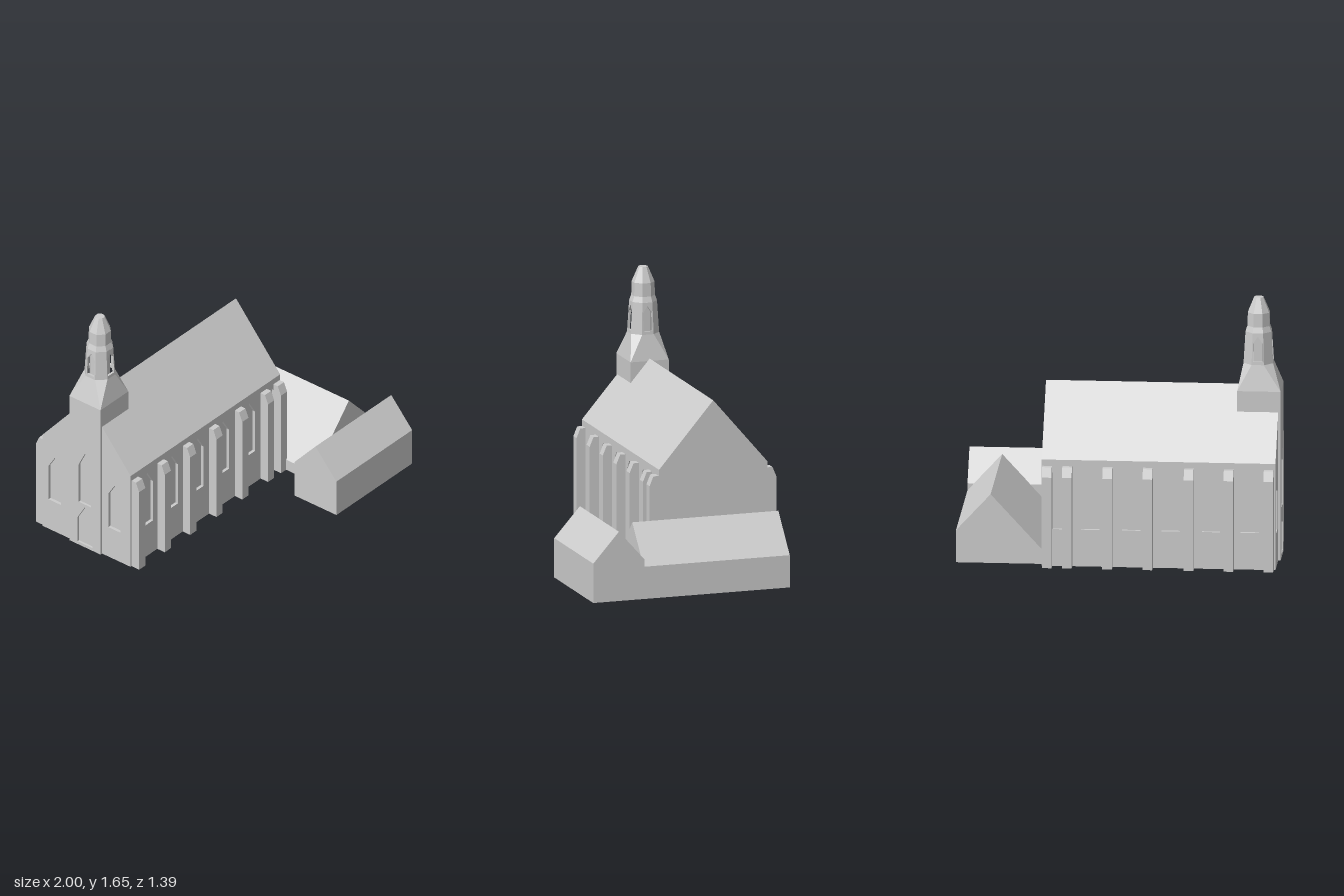
import * as THREE from 'three';

const stone = new THREE.MeshStandardMaterial({ color: 0xcccccc });
stone.name = 'grey stone';

const MID = -0.28; // z of the nave ridge

function outline(points, holes = []) {
  const shape = new THREE.Shape(points.map(([u, v]) => new THREE.Vector2(u, v)));
  shape.holes = holes.map((h) => new THREE.Path(h.map(([u, v]) => new THREE.Vector2(u, v))));
  return shape;
}

// pointed window outline
const lancet = (c, half, bottom, shoulder, top) => [
  [c - half, bottom], [c + half, bottom], [c + half, shoulder], [c, top], [c - half, shoulder],
];

const rect = (u0, u1, v0, v1) => [[u0, v0], [u1, v0], [u1, v1], [u0, v1]];

const extrude = (shape, depth) => new THREE.ExtrudeGeometry(shape, { depth, bevelEnabled: false });

// (x, y) profile swept from z0 to z1
const alongZ = (shape, z0, z1) => extrude(shape, z1 - z0).translate(0, 0, z0);

// (z, y) profile swept from x0 to x1
const alongX = (shape, x0, x1) => extrude(shape, x1 - x0).rotateY(-Math.PI / 2).translate(x1, 0, 0);

function add(parent, name, geometry) {
  const mesh = new THREE.Mesh(geometry, stone);
  mesh.name = name;
  parent.add(mesh);
  return mesh;
}

function buildNave() {
  const nave = new THREE.Group();
  nave.name = 'nave';
  const w = 0.355, t = 0.02, x0 = -0.985, x1 = 0.465;
  const gable = (inset) => [
    [MID - w + inset, 0], [MID + w - inset, 0], [MID + w - inset, 0.66], [MID + w, 0.66], [MID + w, 0.68],
    [MID, 1.095], [MID - w, 0.68], [MID - w, 0.66], [MID - w + inset, 0.66],
  ];
  add(nave, 'naveCore', alongX(outline(gable(t)), x0 + t, x1));

  // end wall with a window on each side of the tower
  const full = [[MID - w, 0], [MID + w, 0], [MID + w, 0.68], [MID, 1.095], [MID - w, 0.68]];
  const endWindows = [-0.535, -0.055].map((z) => lancet(z, 0.05, 0.22, 0.47, 0.55));
  add(nave, 'endWall', alongX(outline(full, endWindows), x0, x0 + t));

  // side walls with recessed windows
  const windows = [-0.825, -0.585, -0.335, -0.09, 0.165, 0.385]
    .map((x) => lancet(x, 0.057, 0.235, 0.53, 0.62));
  const side = outline(rect(x0 + t, x1, 0, 0.67), windows);
  add(nave, 'frontWall', alongZ(side, MID + w - t, MID + w));
  add(nave, 'backWall', alongZ(side, MID - w, MID - w + t));

  // buttresses with sloped tops
  for (const s of [1, -1]) {
    const profile = [[0.345, 0], [0.415, 0], [0.415, 0.58], [0.39, 0.64], [0.345, 0.64]]
      .map(([d, y]) => [MID + s * d, y]);
    for (const x of [-0.945, -0.697, -0.45, -0.195, 0.055, 0.305, 0.43]) {
      add(nave, 'buttress', alongX(outline(profile), x - 0.03, x + 0.03));
    }
  }
  return nave;
}

function buildTower() {
  const tower = new THREE.Group();
  tower.name = 'tower';
  const hz = 0.125;
  add(tower, 'towerShaft', alongX(outline(rect(MID - hz, MID + hz, 0, 1.08)), -0.983, -0.73));
  // tower face with door and tall window
  const openings = [lancet(MID, 0.06, 0.02, 0.2, 0.3), lancet(MID, 0.05, 0.32, 0.6, 0.7)];
  add(tower, 'towerFace', alongX(outline(rect(MID - hz, MID + hz, 0, 1.08), openings), -1, -0.983));

  const spire = new THREE.Group();
  spire.name = 'spire';
  spire.position.set(-0.855, 0, MID);
  tower.add(spire);

  // eight-point ring: a = distance of the main faces, s = half their width
  const ring = (y, a, s, kx = 1, dx = 0) => [
    [s, a], [a, s], [a, -s], [s, -a], [-s, -a], [-a, -s], [-a, s], [-s, a],
  ].map(([x, z]) => [x * kx + dx, y, z]);
  const low = { y: 1.24, a: 0.092, s: 0.038 }, high = { y: 1.44, a: 0.08, s: 0.033 };
  const rings = [
    ring(1.08, hz, hz, 1.08, -0.01),
    ring(low.y, low.a, low.s),
    ring(high.y, high.a, high.s),
    ring(1.475, 0.068, 0.028),
    ring(1.56, 0.066, 0.027),
    ring(1.655, 0.028, 0.012),
  ];
  const pos = [];
  for (let r = 0; r < rings.length - 1; r++) {
    for (let i = 0; i < 8; i++) {
      if (r === 1 && i % 2) continue; // left open for the belfry windows
      const j = (i + 1) % 8, [p, q] = [rings[r], rings[r + 1]];
      if (r > 0 || i % 2) pos.push(...p[i], ...p[j], ...q[j]);
      pos.push(...p[i], ...q[j], ...q[i]);
    }
  }
  const top = rings[rings.length - 1];
  for (let i = 0; i < 8; i++) pos.push(0, 1.655, 0, ...top[i], ...top[(i + 1) % 8]);
  const skin = new THREE.BufferGeometry();
  skin.setAttribute('position', new THREE.Float32BufferAttribute(pos, 3));
  skin.computeVertexNormals();
  add(spire, 'spireFaces', skin);

  // belfry core behind four leaning window frames
  add(spire, 'belfryCore', new THREE.CylinderGeometry(0.067, 0.067, 0.22, 8).toNonIndexed()
    .rotateY(Math.PI / 8).translate(0, 1.33, 0)).geometry.computeVertexNormals();
  const h = high.y - low.y, lean = Math.atan2(low.a - high.a, h);
  const frame = outline(
    [[-low.s, 0], [low.s, 0], [high.s, h], [-high.s, h]],
    [lancet(0, 0.029, 0.02, 0.135, 0.178)],
  );
  for (let k = 0; k < 4; k++) {
    const g = extrude(frame, 0.015).translate(0, 0, -0.015).rotateX(-lean)
      .translate(0, low.y, low.a).rotateY(k * Math.PI / 2);
    add(spire, 'belfryWindowFrame', g);
  }
  return tower;
}

export function createModel() {
  const model = new THREE.Group();
  model.name = 'church';
  model.add(buildNave(), buildTower());

  // low wing beside the nave and the cross wing in front of it
  const link = [[0.45, 0], [1, 0], [1, 0.205], [0.785, 0.44], [0.45, 0.075]];
  add(model, 'linkWing', alongZ(outline(link), -0.595, 0.362));
  const wing = [[0.355, 0], [0.692, 0], [0.692, 0.25], [0.524, 0.44], [0.355, 0.25]];
  add(model, 'frontWing', alongX(outline(wing), 0.265, 1));
  return model;
}
